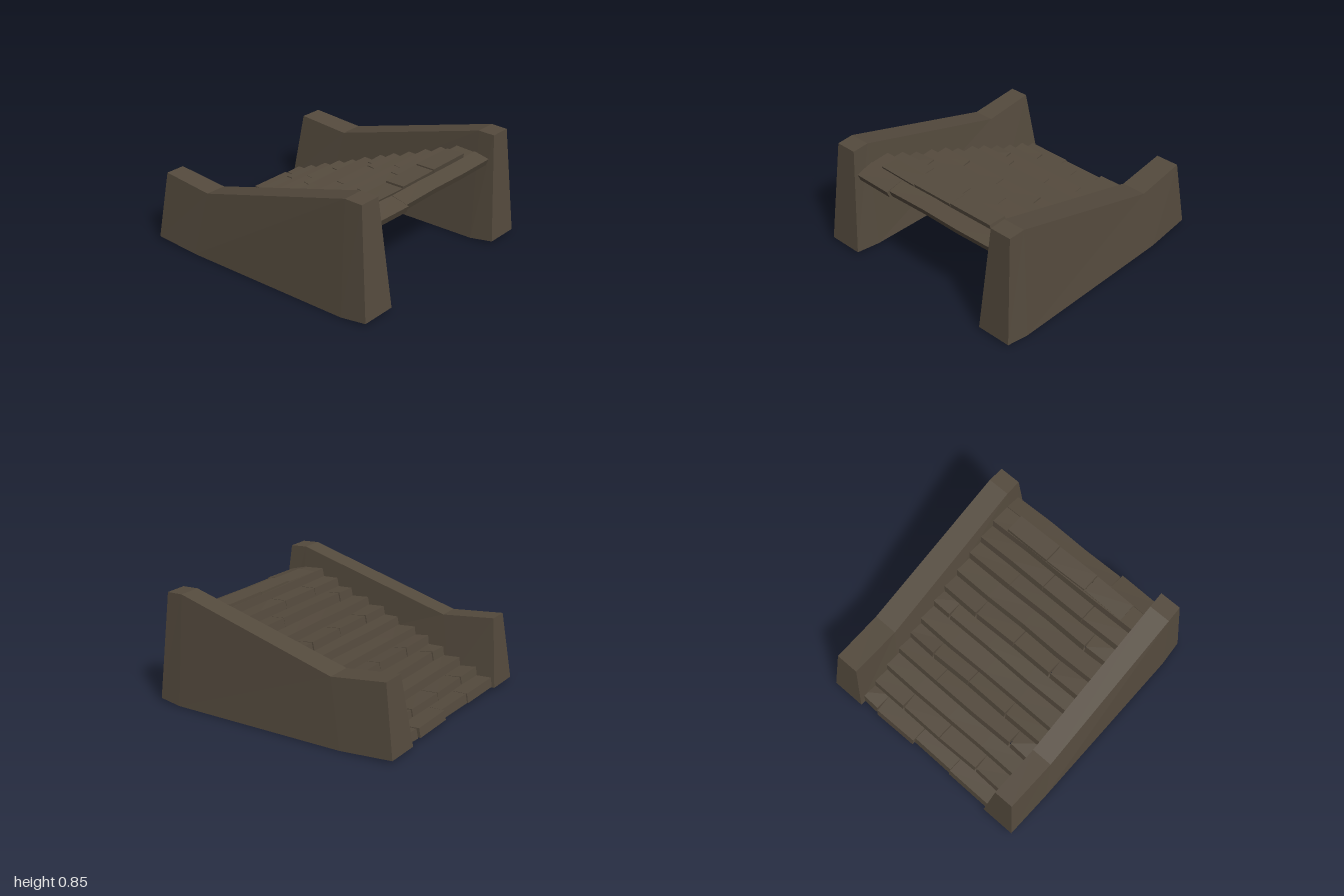
import * as THREE from 'three';

const stone = new THREE.MeshStandardMaterial({ color: 0x544a3d });
stone.name = 'brown stone';
stone.flatShading = true;
stone.side = THREE.DoubleSide;

// Each section: base z, y, outer x, inner x, then top z, y, outer x, inner x
const RIGHT_WALL = [
  [1.0, 0.02, -0.9, -0.62, 0.915, 0.84, -0.845, -0.675],
  [0.8, 0, -0.915, -0.615, 0.78, 0.847, -0.852, -0.682],
  [-0.6, 0, -0.915, -0.62, -0.5, 0.5, -0.855, -0.69],
  [-0.985, 0.02, -0.91, -0.635, -0.92, 0.545, -0.855, -0.7],
];
const LEFT_WALL = [
  [0.98, 0.02, 0.905, 0.63, 0.91, 0.842, 0.855, 0.685],
  [0.8, 0, 0.915, 0.61, 0.78, 0.847, 0.857, 0.682],
  [-0.6, 0, 0.905, 0.605, -0.5, 0.5, 0.86, 0.668],
  [-1.0, 0.02, 0.88, 0.61, -0.92, 0.545, 0.84, 0.655],
];

// Tapered side wall, open underneath
function makeWall(name, sections, flip) {
  const rings = sections.map(([zb, yb, ob, ib, zt, yt, ot, it]) =>
    [[ob, yb, zb], [ot, yt, zt], [it, yt, zt], [ib, yb, zb]]);
  const pos = [];
  const quad = (a, b, c, d) => {
    const q = flip ? [d, c, b, a] : [a, b, c, d];
    for (const i of [0, 1, 2, 0, 2, 3]) pos.push(...q[i]);
  };
  for (let s = 0; s < rings.length - 1; s++) {
    const a = rings[s], b = rings[s + 1];
    for (let k = 0; k < 3; k++) quad(a[k], b[k], b[k + 1], a[k + 1]);
  }
  const front = rings[0], back = rings[rings.length - 1];
  quad(...front);
  quad(back[3], back[2], back[1], back[0]);
  const geo = new THREE.BufferGeometry();
  geo.setAttribute('position', new THREE.Float32BufferAttribute(pos, 3));
  geo.computeVertexNormals();
  const mesh = new THREE.Mesh(geo, stone);
  mesh.name = name;
  return mesh;
}

// Uneven stone: its top dips by `dip` at the front, its ends lean by `lean`.
// A wide gap opens a wedge at the back of the +x end, a narrow one a groove.
function makeBlock(name, x0, x1, y0, y1, z0, z1, { gap = 0, dip = 0.012, lean = 0.014 } = {}) {
  const segs = Math.max(1, Math.round((x1 - x0) / 0.35));
  const geo = new THREE.BoxGeometry(x1 - x0, y1 - y0, z1 - z0, segs, 1, 1);
  geo.translate((x0 + x1) / 2, (y0 + y1) / 2, (z0 + z1) / 2);
  const p = geo.attributes.position;
  for (let i = 0; i < p.count; i++) {
    const x = p.getX(i), y = p.getY(i), z = p.getZ(i);
    const atTop = y > (y0 + y1) / 2, atBack = z < (z0 + z1) / 2;
    if (x > x1 - 0.001 && (gap > 0.01 ? atBack : atTop)) p.setX(i, x - gap);
    const drop = atTop && !atBack ? dip : 0;
    p.setY(i, y - drop + 0.005 * Math.sin(x * 17 + z * 31));
    p.setZ(i, z - (atTop ? 0 : lean) + 0.004 * Math.sin(x * 11 + z * 47));
  }
  geo.computeVertexNormals();
  const mesh = new THREE.Mesh(geo, stone);
  mesh.name = name;
  return mesh;
}

// Rows from the bottom step up: back z and joints as [x, gap width]
const ROWS = [
  [-0.945, [[-0.26, 0.005], [0.1, 0.005], [0.48, 0.016]]],
  [-0.815, [[-0.4, 0.014], [-0.04, 0.008], [0.33, 0.016]]],
  [-0.67, []],
  [-0.525, [[-0.48, 0.016], [0.25, 0.004]]],
  [-0.385, [[-0.32, 0.012], [0.05, 0.008], [0.4, 0.014]]],
  [-0.26, []],
  [-0.105, [[0.49, 0.014]]],
  [0.025, [[-0.39, 0.016], [-0.04, 0.008], [0.33, 0.014]]],
  [0.17, []],
  [0.325, [[-0.47, 0.014], [0.26, 0.004]]],
  [0.46, [[-0.33, 0.008], [0.05, 0.008]]],
  [0.605, []],
];

export function createModel() {
  const model = new THREE.Group();
  model.name = 'stoneStairs';
  model.add(makeWall('rightWall', RIGHT_WALL, true), makeWall('leftWall', LEFT_WALL, false));

  // Steps rising towards the front
  const steps = new THREE.Group();
  steps.name = 'steps';
  ROWS.forEach(([z, joints], i) => {
    const top = 0.094 + i * 0.0542;
    const front = i < ROWS.length - 1 ? ROWS[i + 1][0] + 0.015 : 0.78;
    let x = -0.67;
    [...joints, [0.67, 0]].forEach(([end, gap], k) => {
      const back = i === 0 ? z + [0, 0.01, -0.012, 0][k] : z;
      steps.add(makeBlock('stepStone', x, end, top - 0.07, top, back, front, { gap }));
      x = end;
    });
  });
  model.add(steps);

  // Raised stones along the top step
  const caps = new THREE.Group();
  caps.name = 'topStones';
  [[-0.56, -0.21, 0.694], [-0.21, 0.15, 0.704], [0.15, 0.535, 0.71]].forEach(([a, b, y]) =>
    caps.add(makeBlock('topStone', a, b, 0.66, y, 0.615, 0.765, { gap: 0.008, dip: 0.004, lean: 0.008 })));
  model.add(caps);

  // Sloping lip at the head of the stairs
  const lip = new THREE.Group();
  lip.name = 'lip';
  [[-0.67, -0.335, 0.91], [-0.335, 0.67, 0.892]].forEach(([a, b, z]) =>
    lip.add(makeBlock('lipStone', a, b, 0.597, 0.686, 0.765, z, { gap: 0.004, dip: 0.036, lean: 0.022 })));
  model.add(lip);
  return model;
}
